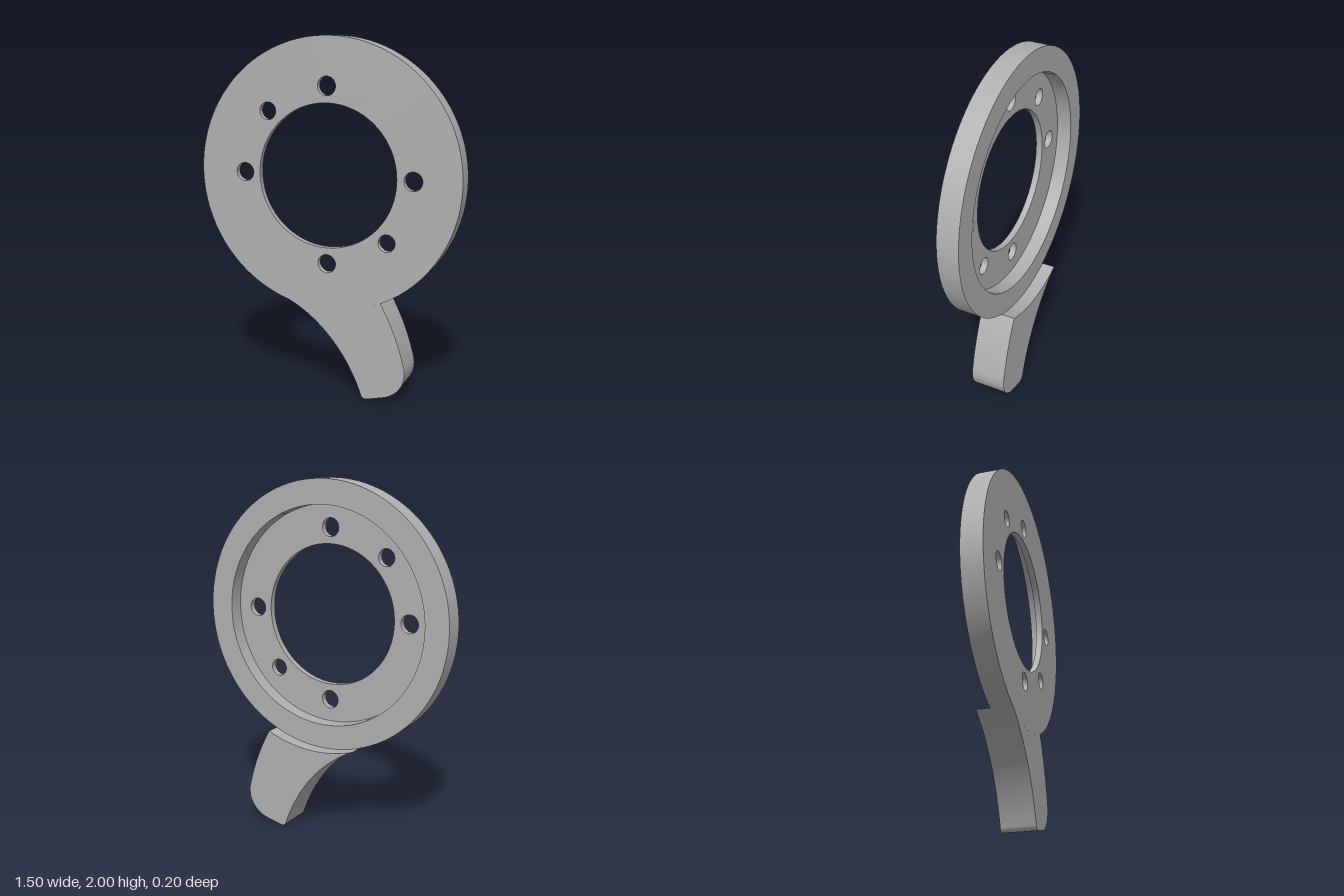
import * as THREE from 'three';
import { toCreasedNormals } from 'three/addons/utils/BufferGeometryUtils.js';

const CY = 1.25;          // ring centre height
const R = 0.75;           // ring outer radius
const FRONT = 0.1, FLOOR = 0.063, RIM_BACK = -0.022, LEVER_BACK = -0.1;

function circle(shape, x, y, r) {
  shape.absarc(x, y, r, 0, Math.PI * 2, false);
  return shape;
}

export function createModel() {
  const group = new THREE.Group();
  const grey = new THREE.MeshStandardMaterial({ color: 0xb0b0b0 });
  grey.name = 'grey metal';

  // Extrudes an outline between two depths, smooth round the curves
  function slab(name, shape, z0, z1, curveSegments) {
    const raw = new THREE.ExtrudeGeometry(shape, { depth: z1 - z0, bevelEnabled: false, curveSegments });
    raw.translate(0, 0, z0);
    const mesh = new THREE.Mesh(toCreasedNormals(raw, 0.45), grey);
    mesh.name = name;
    group.add(mesh);
  }

  // Front plate with the central bore and six bolt holes
  const plate = circle(new THREE.Shape(), 0, CY, R);
  plate.holes.push(circle(new THREE.Path(), 0, CY, 0.396));
  for (const deg of [0, 90, 135, 180, 270, 315]) {
    const a = THREE.MathUtils.degToRad(deg);
    const r = deg % 90 ? 0.048 : 0.0515;
    plate.holes.push(circle(new THREE.Path(), 0.486 * Math.cos(a), CY + 0.486 * Math.sin(a), r));
  }
  slab('frontPlate', plate, FLOOR, FRONT, 96);

  // Raised rim around the recess at the back
  const rim = circle(new THREE.Shape(), 0, CY, R);
  rim.holes.push(circle(new THREE.Path(), 0, CY, 0.613));
  slab('backRim', rim, RIM_BACK, FLOOR, 96);

  // Curved lever, its top following the ring's edge
  const lx = -0.237, rx = 0.312;
  const ly = CY - Math.sqrt(R * R - lx * lx), ry = CY - Math.sqrt(R * R - rx * rx);
  const lever = new THREE.Shape();
  lever.moveTo(lx, ly);
  lever.quadraticCurveTo(-0.222, 0.533, -0.205, 0.524);
  lever.bezierCurveTo(-0.02, 0.425, 0.13, 0.24, 0.202, 0.026);
  lever.quadraticCurveTo(0.21, 0, 0.24, 0.005);
  lever.lineTo(0.335, 0.028);
  lever.bezierCurveTo(0.42, 0.05, 0.47, 0.13, 0.45, 0.215);
  lever.quadraticCurveTo(0.405, 0.405, rx, ry);
  lever.absarc(0, CY, R, Math.atan2(ry - CY, rx), Math.atan2(ly - CY, lx), true);
  slab('lever', lever, LEVER_BACK, FRONT, 24);

  return group;
}
